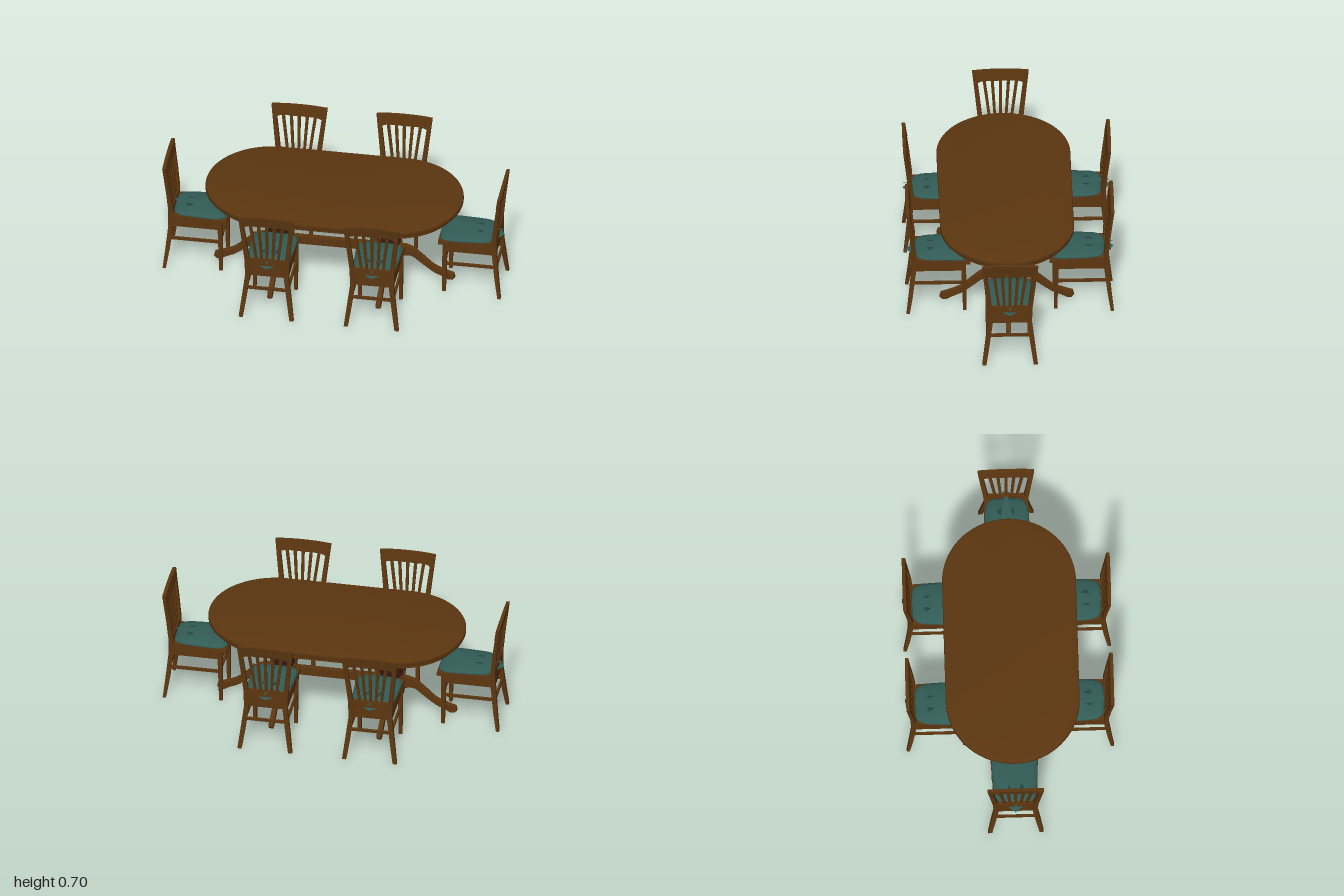
import * as THREE from 'three';
import { toCreasedNormals } from 'three/addons/utils/BufferGeometryUtils.js';

const mat = (name, color) => {
  const m = new THREE.MeshStandardMaterial({ color });
  m.name = name;
  return m;
};
const wood = mat('brown wood', 0x5c3610);
const dark = mat('dark wood', 0x32150c);
const fabric = mat('teal fabric', 0x325c56);

function add(parent, name, geometry, material = wood, x = 0, y = 0, z = 0) {
  const m = new THREE.Mesh(geometry, material);
  m.name = name;
  m.position.set(x, y, z);
  parent.add(m);
  return m;
}
const box = (w, h, d) => new THREE.BoxGeometry(w, h, d);

// Bar following rows of [y, x, z, width, depth], listed from the bottom up
function bar(rows) {
  const n = rows.length - 1;
  const g = new THREE.BoxGeometry(1, 1, 1, 1, n, 1);
  const p = g.attributes.position;
  for (let i = 0; i < p.count; i++) {
    const [y, x, z, w, d] = rows[Math.round((p.getY(i) + 0.5) * n)];
    p.setXYZ(i, x + p.getX(i) * w, y, z + p.getZ(i) * d);
  }
  g.computeVertexNormals();
  return g;
}

// ---------- Chair: faces +z, rearmost point at z = 0 ----------
// Domed cushion: a lathe whose circles are pushed out to rounded squares
function cushionGeometry() {
  const profile = [[0, 0.352], [0.97, 0.352], [1, 0.357], [0.97, 0.364], [0.85, 0.371],
    [0.6, 0.379], [0.3, 0.383], [0, 0.384]].map(([r, y]) => new THREE.Vector2(r, y));
  const g = new THREE.LatheGeometry(profile, 40);
  const p = g.attributes.position;
  for (let i = 0; i < p.count; i++) {
    const x = p.getX(i), z = p.getZ(i), r = Math.hypot(x, z);
    if (r < 1e-6) continue;
    const k = r / Math.pow(Math.abs(x) ** 5 + Math.abs(z) ** 5, 0.2);
    const halfWidth = 0.131 + 0.008 * z * k;
    p.setXYZ(i, x * k * halfWidth, p.getY(i), 0.215 + z * k * 0.16);
  }
  g.computeVertexNormals();
  return g;
}

// Crest rail with a gentle arch, leaning back with the posts
function crestGeometry() {
  const s = new THREE.Shape();
  s.moveTo(-0.143, 0.615);
  s.quadraticCurveTo(-0.125, 0.638, -0.08, 0.638);
  s.lineTo(0.08, 0.638);
  s.quadraticCurveTo(0.125, 0.638, 0.143, 0.615);
  s.lineTo(0.165, 0.695);
  s.quadraticCurveTo(0.1, 0.704, 0, 0.704);
  s.quadraticCurveTo(-0.1, 0.704, -0.165, 0.695);
  const g = new THREE.ExtrudeGeometry(s, { depth: 0.02, bevelEnabled: false, curveSegments: 8 });
  const p = g.attributes.position;
  for (let i = 0; i < p.count; i++) p.setZ(i, p.getZ(i) + (0.7 - p.getY(i)) * 0.16);
  g.computeVertexNormals();
  return g;
}

// Seat board, wider at the front
function seatGeometry() {
  const g = box(1, 0.022, 1);
  const p = g.attributes.position;
  for (let i = 0; i < p.count; i++) {
    const f = p.getZ(i) + 0.5;
    p.setXYZ(i, p.getX(i) * (0.25 + 0.03 * f), p.getY(i) + 0.342, 0.05 + 0.326 * f);
  }
  g.computeVertexNormals();
  return g;
}

const chairParts = {
  cushion: cushionGeometry(),
  crest: crestGeometry(),
  seat: seatGeometry(),
};

function makeChair(name, x, z, turn) {
  const c = new THREE.Group();
  c.name = name;
  c.position.set(x, 0, z);
  c.rotation.y = turn;
  add(c, 'seatBoard', chairParts.seat);
  add(c, 'cushion', chairParts.cushion, fabric);
  add(c, 'crestRail', chairParts.crest);
  add(c, 'lowerBackPanel', box(0.24, 0.11, 0.02), wood, 0, 0.335, 0.045);
  for (const s of [-1, 1]) {
    // Rear leg and back post in one sweep
    add(c, 'rearPost', bar([
      [0, s * 0.15, 0.012, 0.024, 0.018], [0.12, s * 0.134, 0.028, 0.027, 0.024],
      [0.28, s * 0.114, 0.045, 0.028, 0.028], [0.39, s * 0.119, 0.045, 0.027, 0.027],
      [0.52, s * 0.133, 0.032, 0.026, 0.023], [0.697, s * 0.153, 0.01, 0.024, 0.018]]));
    add(c, 'frontLeg', bar([
      [0, s * 0.121, 0.342, 0.02, 0.02], [0.333, s * 0.122, 0.336, 0.028, 0.028]]));
    add(c, 'sideApron', box(0.016, 0.055, 0.29), wood, s * 0.119, 0.307, 0.195);
    add(c, 'sideStretcher', box(0.014, 0.016, 0.305), wood, s * 0.122, 0.194, 0.19);
  }
  add(c, 'frontApron', box(0.24, 0.055, 0.016), wood, 0, 0.307, 0.34);
  add(c, 'frontStretcher', box(0.236, 0.016, 0.014), wood, 0, 0.214, 0.34);
  add(c, 'rearStretcher', box(0.25, 0.016, 0.014), wood, 0, 0.193, 0.036);
  // Fanned slats
  for (let i = -2; i <= 2; i++) {
    add(c, 'backSlat', bar([[0.385, i * 0.032, 0.045, 0.015, 0.01],
      [0.52, i * 0.04, 0.033, 0.017, 0.01], [0.645, i * 0.048, 0.018, 0.018, 0.01]]));
  }
  return c;
}

// ---------- Table ----------
// Oval with straight sides
function oval(Path, r, half = 0.367) {
  const s = new Path();
  s.absarc(half, 0, r, -Math.PI / 2, Math.PI / 2, false);
  s.absarc(-half, 0, r, Math.PI / 2, Math.PI * 1.5, false);
  s.closePath();
  return s;
}
function slab(shape, y, height, bevel = 0) {
  const g = new THREE.ExtrudeGeometry(shape, { depth: height - 2 * bevel, curveSegments: 32,
    bevelEnabled: bevel > 0, bevelSize: bevel, bevelThickness: bevel, bevelSegments: 2 });
  g.rotateX(-Math.PI / 2).translate(0, y + bevel, 0);
  return toCreasedNormals(g, 0.6);
}

// Curved foot, reaching along +x
function footGeometry() {
  const s = new THREE.Shape();
  s.moveTo(0.04, 0.215);
  s.lineTo(0.1, 0.212);
  s.splineThru([[0.145, 0.195], [0.2, 0.148], [0.265, 0.09], [0.33, 0.06], [0.382, 0.042]]
    .map(([x, y]) => new THREE.Vector2(x, y)));
  s.lineTo(0.388, 0.02);
  s.lineTo(0.375, 0.006);
  s.lineTo(0.35, 0.006);
  s.splineThru([[0.32, 0.024], [0.265, 0.05], [0.195, 0.103], [0.13, 0.148], [0.04, 0.13]]
    .map(([x, y]) => new THREE.Vector2(x, y)));
  const g = new THREE.ExtrudeGeometry(s, { depth: 0.022, bevelEnabled: true, bevelSize: 0.003,
    bevelThickness: 0.003, bevelSegments: 1, curveSegments: 4 });
  return toCreasedNormals(g.translate(0, 0, -0.011), 0.5);
}
const foot = footGeometry();
const turned = pts => toCreasedNormals(
  new THREE.LatheGeometry(pts.map(([r, y]) => new THREE.Vector2(r, y)), 28), 0.7);

function makePedestal(x, outward) {
  const p = new THREE.Group();
  p.name = 'pedestal';
  p.position.x = x;
  const octagon = (r, y0, y1) =>
    new THREE.CylinderGeometry(r, r, y1 - y0, 8).toNonIndexed()
      .rotateY(Math.PI / 8).translate(0, (y0 + y1) / 2, 0);
  add(p, 'upperColumn', turned([[0, 0.28], [0.058, 0.28], [0.062, 0.31], [0.066, 0.36],
    [0.066, 0.44], [0.072, 0.475], [0, 0.475]]));
  add(p, 'turnedRings', turned([[0, 0.224], [0.066, 0.224], [0.07, 0.232], [0.066, 0.24],
    [0.058, 0.246], [0.066, 0.252], [0.066, 0.262], [0.058, 0.267], [0.066, 0.274],
    [0.062, 0.284], [0, 0.284]]), dark);
  add(p, 'columnBlock', octagon(0.083, 0.115, 0.225));
  add(p, 'lowerRing', turned([[0, 0.062], [0.025, 0.064], [0.036, 0.076], [0.055, 0.086],
    [0.072, 0.092], [0.076, 0.102], [0.07, 0.116], [0, 0.116]]), dark);
  for (const a of [-Math.PI / 2, Math.PI / 2, outward > 0 ? 0 : Math.PI]) {
    add(p, 'curvedFoot', foot).rotation.y = a;
  }
  // Cleat under the top with tapered ends
  add(p, 'topCleat', bar([[0.47, 0, 0, 0.16, 0.31], [0.492, 0, 0, 0.18, 0.46],
    [0.527, 0, 0, 0.18, 0.48]]));
  return p;
}

function makeTable() {
  const t = new THREE.Group();
  t.name = 'table';
  t.position.set(-0.008, 0, 0.015);
  add(t, 'tableTop', slab(oval(THREE.Shape, 0.381), 0.523, 0.034, 0.009));
  const ring = oval(THREE.Shape, 0.358);
  ring.holes.push(oval(THREE.Path, 0.315));
  add(t, 'tableApron', slab(ring, 0.491, 0.034));
  for (const s of [-1, 1]) {
    t.add(makePedestal(s * 0.32, s));
    add(t, 'runner', box(1.08, 0.042, 0.035), wood, 0, 0.504, s * 0.15);
  }
  add(t, 'pedestalBeam', box(0.52, 0.052, 0.03), wood, 0, 0.186, 0);
  return t;
}

export function createModel() {
  const model = new THREE.Group();
  model.name = 'diningSet';
  model.add(makeTable());
  for (const x of [-0.316, 0.304]) {
    model.add(makeChair('frontChair', x, 0.605, Math.PI));
    model.add(makeChair('backChair', x, -0.608, 0));
  }
  model.add(makeChair('leftEndChair', 1, 0.015, -Math.PI / 2));
  model.add(makeChair('rightEndChair', -1, 0.015, Math.PI / 2));
  return model;
}
